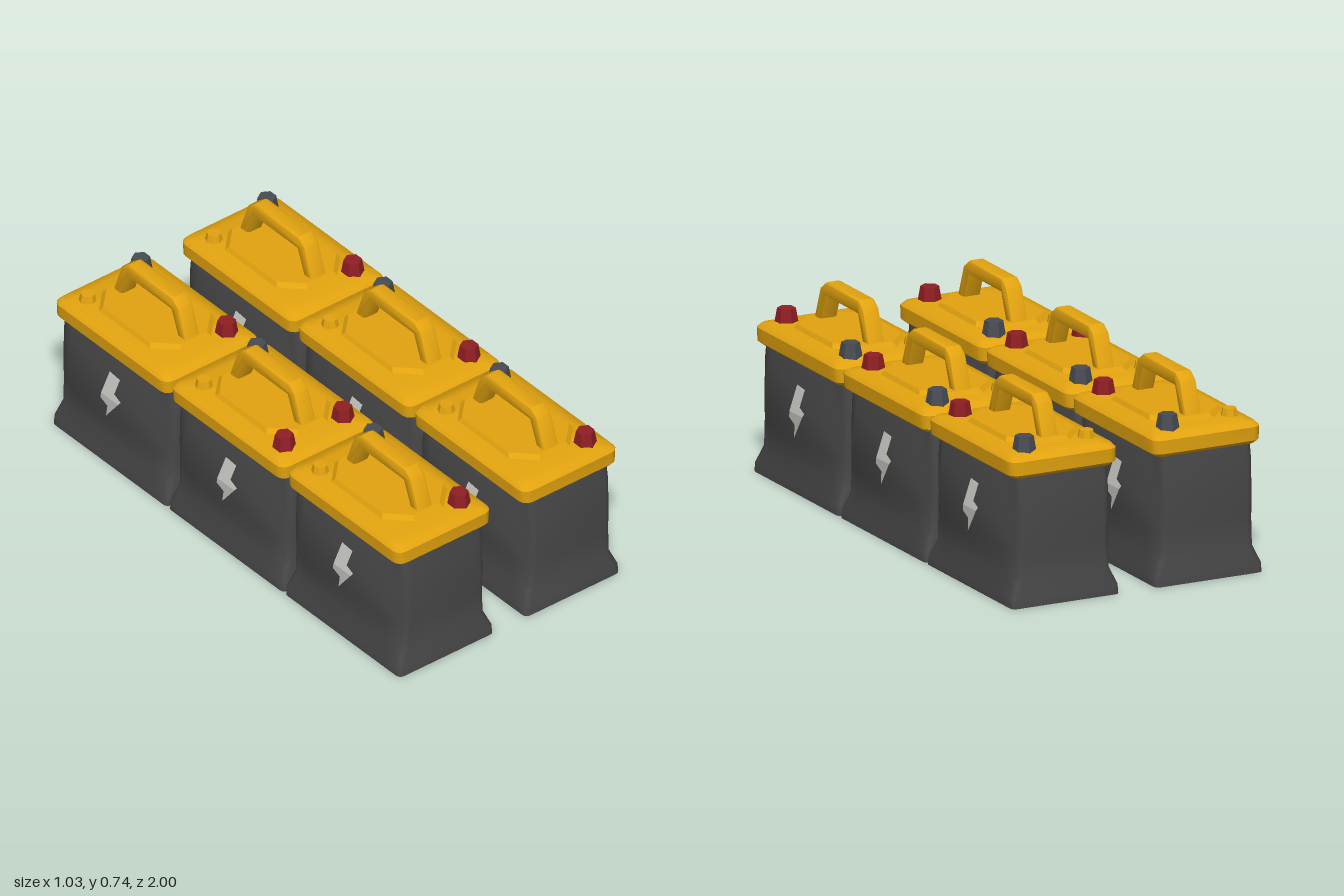
import * as THREE from 'three';
import { toCreasedNormals } from 'three/addons/utils/BufferGeometryUtils.js';

// Body rows: height, half width, half depth, corner radius, bulge of the long sides
const BODY = [
  [0, 0.22, 0.332, 0.02, 0], [0.035, 0.219, 0.332, 0.025, 0], [0.1, 0.192, 0.318, 0.03, 0.008],
  [0.2, 0.188, 0.32, 0.03, 0.02], [0.3, 0.187, 0.324, 0.03, 0.032], [0.43, 0.187, 0.32, 0.03, 0.012],
  [0.5, 0.185, 0.312, 0.03, 0],
];
const LID = [
  [0.483, 0.2, 0.312, 0.03, 0], [0.497, 0.218, 0.324, 0.035, 0], [0.548, 0.22, 0.325, 0.035, 0],
  [0.563, 0.207, 0.312, 0.035, 0], [0.575, 0.165, 0.27, 0.04, 0],
];
const PLATE = [[0.565, 0.155, 0.235, 0.08, 0], [0.591, 0.14, 0.215, 0.08, 0]];

// One rounded rectangle cross-section, long sides pushed out between z = -0.24 and 0.24
function section([y, w, d, r, bulge], steps) {
  const pts = [];
  const corner = (sx, sz, start) => {
    for (let k = 0; k <= steps; k++) {
      const a = start + (k / steps) * Math.PI / 2;
      pts.push([sx * (w - r) + r * Math.cos(a), y, sz * (d - r) + r * Math.sin(a)]);
    }
  };
  const panel = (s) => {
    if (bulge !== null) pts.push([s * (w + bulge), y, -s * Math.min(0.24, d - r)], [s * (w + bulge), y, s * Math.min(0.24, d - r)]);
  };
  panel(1);
  corner(1, 1, 0);
  corner(-1, 1, Math.PI / 2);
  panel(-1);
  corner(-1, -1, Math.PI);
  corner(1, -1, Math.PI * 1.5);
  return pts;
}

// Closed loft through the rows
function loft(rows, steps = 3, crease = 0.6) {
  const loops = rows.map((row) => section(row, steps));
  const n = loops[0].length;
  const pos = loops.flat(2);
  const index = [];
  const last = (rows.length - 1) * n;
  const low = rows.length * n, high = low + 1;
  pos.push(0, rows[0][0], 0, 0, rows[rows.length - 1][0], 0);
  for (let j = 0; j < n; j++) {
    const k = (j + 1) % n;
    for (let i = 0; i < last; i += n) index.push(i + j, i + n + j, i + n + k, i + j, i + n + k, i + k);
    index.push(low, j, k, high, last + k, last + j);
  }
  const geo = new THREE.BufferGeometry();
  geo.setAttribute('position', new THREE.Float32BufferAttribute(pos, 3));
  geo.setIndex(index);
  return toCreasedNormals(geo, crease);
}

// Half width of the bulged side at a given height
function sideAt(y) {
  for (let i = 1; i < BODY.length; i++) {
    const a = BODY[i - 1], b = BODY[i];
    if (y <= b[0]) return THREE.MathUtils.lerp(a[1] + a[4], b[1] + b[4], (y - a[0]) / (b[0] - a[0]));
  }
  return 0;
}

// Flat painted piece laid on the +x side
function painted(points) {
  const geo = new THREE.ShapeGeometry(new THREE.Shape(points.map((p) => new THREE.Vector2(...p))));
  geo.rotateY(Math.PI / 2);
  const p = geo.attributes.position;
  for (let i = 0; i < p.count; i++) p.setX(i, sideAt(p.getY(i)) + 0.003);
  geo.computeVertexNormals();
  return geo;
}

// Trapezoid carrying handle, drawn in z-y and extruded across x
function handleGeometry() {
  const half = [[0.215, 0.57], [0.165, 0.708], [0.128, 0.735]];
  const inner = [[0.122, 0.682], [0.165, 0.57]];
  const mirror = (list) => list.map(([x, y]) => [-x, y]).reverse();
  const outline = [...half, ...mirror(half), ...mirror(inner), ...inner];
  const shape = new THREE.Shape(outline.map((p) => new THREE.Vector2(...p)));
  const bevel = 0.012;
  const geo = new THREE.ExtrudeGeometry(shape, {
    depth: 0.07 - 2 * bevel, bevelEnabled: true, bevelThickness: bevel,
    bevelSize: bevel, bevelOffset: -bevel, bevelSegments: 2,
  });
  geo.translate(0, 0, -(0.035 - bevel));
  geo.rotateY(Math.PI / 2);
  return toCreasedNormals(geo, 0.6);
}

export function createModel() {
  const mat = (name, color) => {
    const m = new THREE.MeshStandardMaterial({ color });
    m.name = name;
    return m;
  };
  const charcoal = mat('charcoal', 0x484848);
  const yellow = mat('yellow', 0xe2a30f);
  const red = mat('red', 0x8f1f22);
  const grey = mat('grey', 0x484c52);
  const pale = mat('paleGrey', 0xd2d2cd);

  const bodyGeo = loft(BODY);
  const lidGeo = loft(LID);
  const plateGeo = loft(PLATE, 1, 0.4);
  const handleGeo = handleGeometry();
  const terminalGeo = new THREE.CylinderGeometry(0.034, 0.046, 0.068, 6).toNonIndexed();
  terminalGeo.computeVertexNormals();
  const capGeo = toCreasedNormals(new THREE.CylinderGeometry(0.026, 0.036, 0.04, 8), 0.6);
  const boltTop = painted([[-0.045, 0.3], [0.053, 0.3], [0.065, 0.315], [0.025, 0.33], [0.045, 0.4], [-0.015, 0.405]]);
  const boltTip = painted([[-0.045, 0.3], [-0.052, 0.275], [-0.015, 0.255], [-0.03, 0.2], [0.053, 0.3]]);

  const add = (parent, name, geo, material, x = 0, y = 0, z = 0) => {
    const mesh = new THREE.Mesh(geo, material);
    mesh.name = name;
    mesh.position.set(x, y, z);
    parent.add(mesh);
    return mesh;
  };

  const model = new THREE.Group();
  model.name = 'batteryBank';
  for (const x of [-0.293, 0.293]) {
    for (const z of [-0.667, 0, 0.667]) {
      const battery = new THREE.Group();
      battery.name = 'battery';
      battery.position.set(x, 0, z);
      add(battery, 'body', bodyGeo, charcoal);
      add(battery, 'lid', lidGeo, yellow);
      add(battery, 'lidPlate', plateGeo, yellow);
      add(battery, 'handle', handleGeo, yellow);
      add(battery, 'fillerCap', capGeo, yellow, -0.138, 0.583, -0.225);
      add(battery, 'positiveTerminal', terminalGeo, red, 0.13, 0.591, 0.24);
      add(battery, 'negativeTerminal', terminalGeo, grey, 0.13, 0.591, -0.252);
      // The middle battery on the right has a second red terminal
      if (x < 0 && z === 0) add(battery, 'extraTerminal', terminalGeo, red, -0.142, 0.591, 0.24);
      // Charge mark on both long sides
      for (const turn of [0, Math.PI]) {
        add(battery, 'boltTop', boltTop, pale).rotation.y = turn;
        add(battery, 'boltTip', boltTip, pale).rotation.y = turn;
      }
      model.add(battery);
    }
  }
  return model;
}
